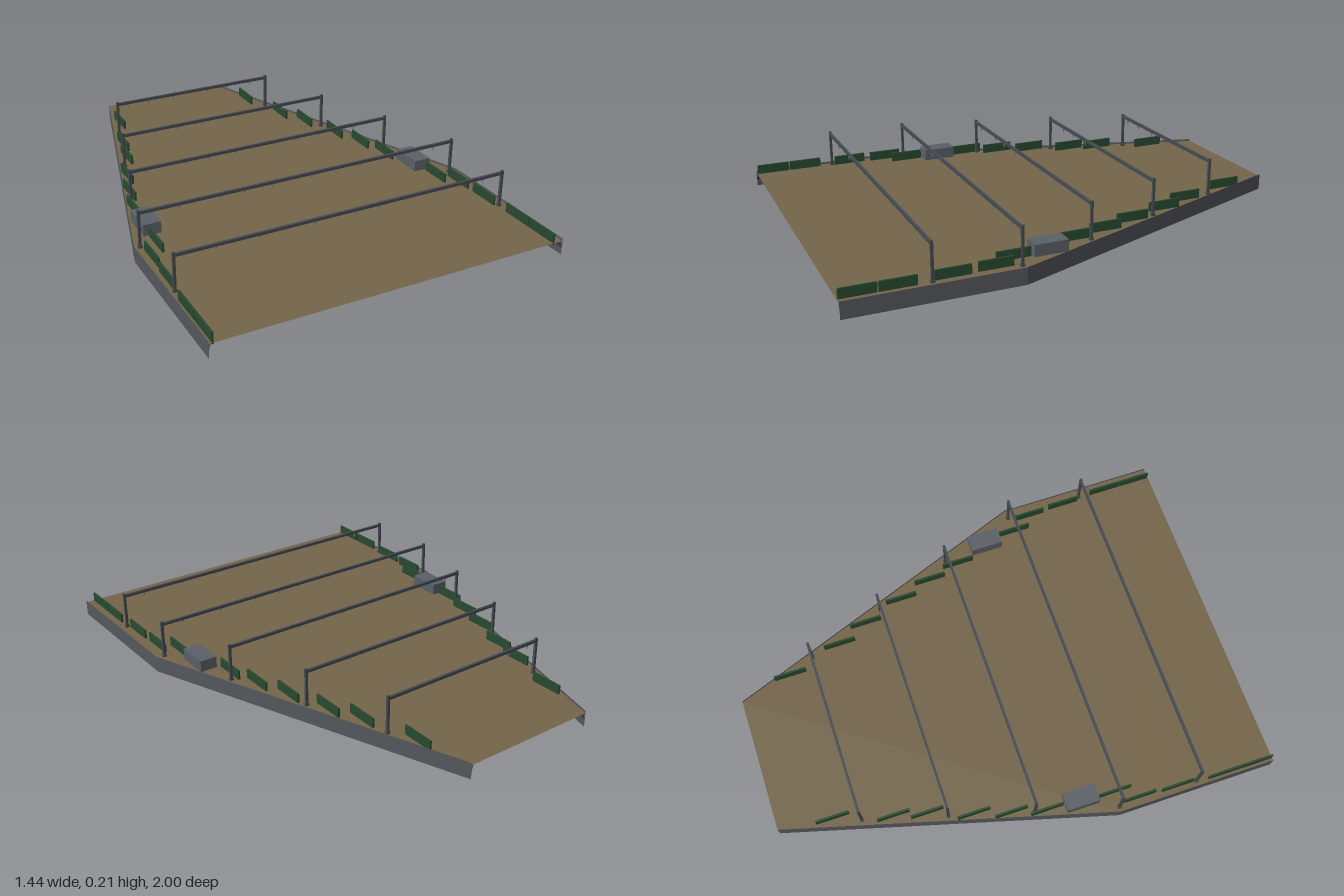
import * as THREE from 'three';

const DECK_Y = 0.058;

function material(name, color, side = THREE.FrontSide) {
  const m = new THREE.MeshStandardMaterial({ color, side });
  m.name = name;
  return m;
}

// Strip of quads joining a lower and an upper path of [x, z] points
function ribbon(lower, y0, upper, y1) {
  const pos = [];
  for (let i = 0; i < lower.length - 1; i++) {
    const a = [lower[i][0], y0, lower[i][1]], b = [lower[i + 1][0], y0, lower[i + 1][1]];
    const c = [upper[i + 1][0], y1, upper[i + 1][1]], d = [upper[i][0], y1, upper[i][1]];
    pos.push(...a, ...b, ...c, ...a, ...c, ...d);
  }
  const g = new THREE.BufferGeometry();
  g.setAttribute('position', new THREE.Float32BufferAttribute(pos, 3));
  g.computeVertexNormals();
  return g;
}

export function createModel() {
  const model = new THREE.Group();
  const deckMat = material('brownDeck', 0x74654a, THREE.DoubleSide);
  const wallMat = material('greyWall', 0x54575d, THREE.DoubleSide);
  const underMat = material('darkGirder', 0x46484c, THREE.DoubleSide);
  const steelMat = material('blueGreySteel', 0x434a52);
  const boxMat = material('greyCabinet', 0x5a6067);
  const hedgeMat = material('darkGreen', 0x27492f);
  const lampMat = material('lampGrey', 0x8a8a84);

  const add = (name, geo, mat, parent = model) => {
    const mesh = new THREE.Mesh(geo, mat);
    mesh.name = name;
    parent.add(mesh);
    return mesh;
  };
  const box = (name, mat, x0, x1, y0, y1, z0, z1, parent) => {
    const mesh = add(name, new THREE.BoxGeometry(x1 - x0, y1 - y0, z1 - z0), mat, parent);
    mesh.position.set((x0 + x1) / 2, (y0 + y1) / 2, (z0 + z1) / 2);
    return mesh;
  };

  // Tapered deck
  const leftEdge = [[0.72, 1], [0.72, 0.33], [0.22, -1]];
  const rightEdge = [[-0.72, 1], [-0.72, 0.33], [-0.35, -1]];
  const outline = [...leftEdge, ...rightEdge.slice().reverse()];
  const shape = new THREE.Shape(outline.map(([x, z]) => new THREE.Vector2(x, -z)));
  add('deck', new THREE.ShapeGeometry(shape).rotateX(-Math.PI / 2).translate(0, DECK_Y, 0), deckMat);

  // Side walls, each with a sloping girder tucked under the deck
  for (const [side, edge] of [['left', leftEdge], ['right', rightEdge]]) {
    const inner = edge.map(([x, z]) => [x - Math.sign(x) * 0.008, z]);
    add(side + 'Wall', ribbon(edge, 0, edge, 0.067), wallMat);
    add(side + 'Girder', ribbon(edge, 0.028, inner, DECK_Y - 0.001), underMat);
  }

  // Gantries: two posts, a cross beam and small hanging lamps
  const gantries = [
    [0.667, -0.697, 0.683], [0.333, -0.697, 0.683], [0.003, -0.608, 0.567],
    [-0.333, -0.513, 0.442], [-0.667, -0.417, 0.322],
  ];
  const lampX = [-0.54, -0.37, -0.27, -0.15, 0.02, 0.12, 0.24, 0.41, 0.59];
  const lampGeo = new THREE.ConeGeometry(0.006, 0.022, 4).rotateX(Math.PI);
  for (const [z, x0, x1] of gantries) {
    const gantry = new THREE.Group();
    gantry.name = 'gantry';
    model.add(gantry);
    for (const x of [x0, x1]) {
      box('post', steelMat, x - 0.005, x + 0.005, DECK_Y, 0.213, z - 0.005, z + 0.005, gantry);
      box('postFoot', steelMat, x - 0.008, x + 0.008, DECK_Y, 0.066, z - 0.008, z + 0.008, gantry);
    }
    box('beam', steelMat, x0, x1, 0.196, 0.208, z - 0.005, z + 0.005, gantry);
    for (const x of lampX) {
      if (x < x0 + 0.04 || x > x1 - 0.04) continue;
      add('lamp', lampGeo, lampMat, gantry).position.set(x, 0.185, z);
    }
  }

  // Cabinets at the sides
  for (const x of [-0.62, 0.595]) {
    box('cabinet', boxMat, x - 0.036, x + 0.036, 0.052, 0.105, 0.126, 0.262);
  }

  // Low hedge panels along both edges: [centre z, right x, left x]
  const hedges = [
    [-0.777, -0.374, 0.272], [-0.542, -0.443, 0.34], [-0.41, -0.475, 0.398],
    [-0.233, -0.538, 0.457], [-0.088, -0.581, 0.505], [0.052, -0.617, 0.541],
    [0.337, -0.634, 0.612], [0.425, -0.686, 0.664], [0.587, -0.693, 0.67],
    [0.787, -0.704, 0.68], [0.928, -0.704, 0.68],
  ];
  for (const [z, ...xs] of hedges) {
    for (const x of xs) {
      box('hedge', hedgeMat, x - 0.004, x + 0.004, 0.05, 0.096, z - 0.068, z + 0.068);
    }
  }
  return model;
}
